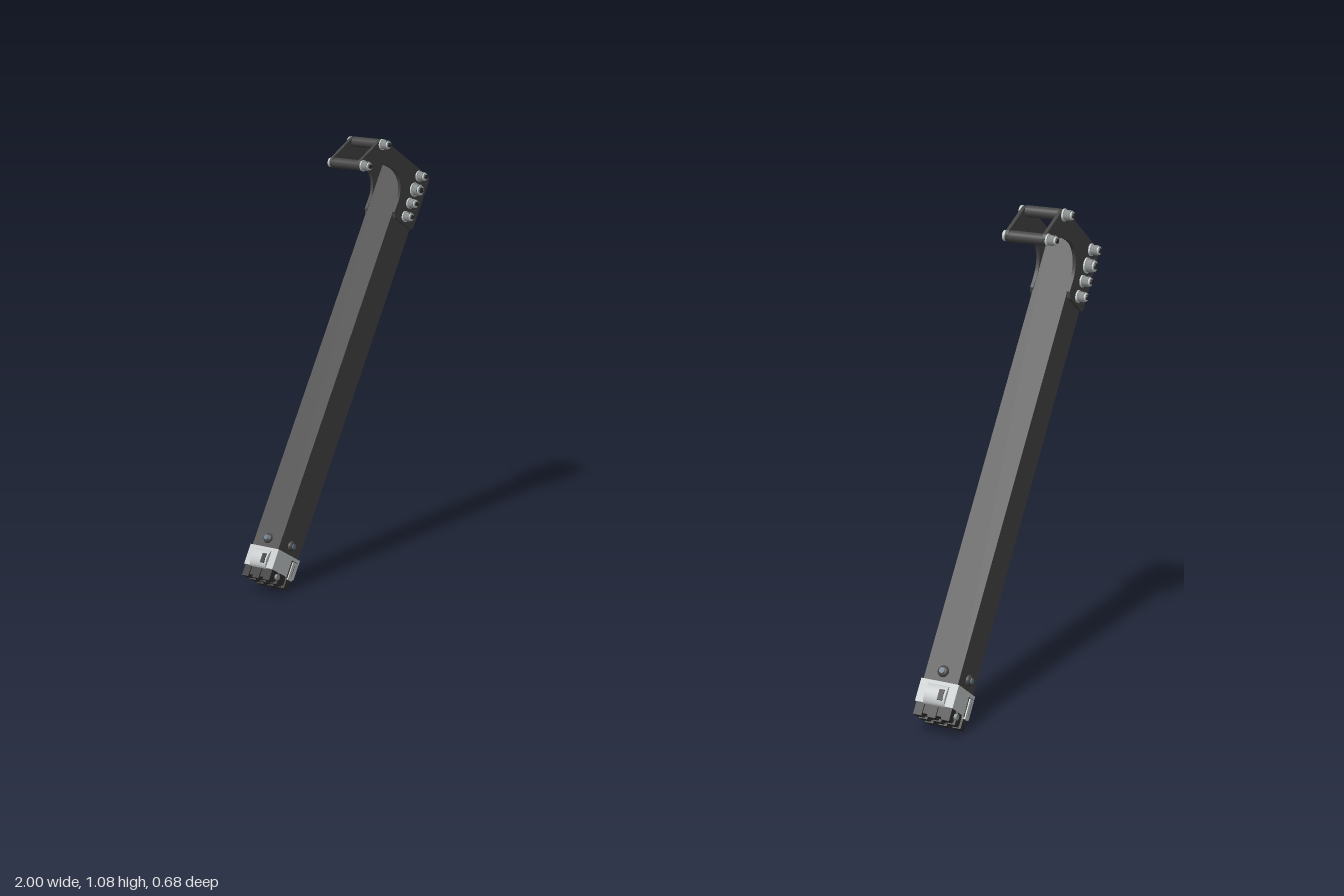
import * as THREE from 'three';

const mat = (name, color) => Object.assign(new THREE.MeshStandardMaterial({ color }), { name });

export function createModel() {
  const carbon = mat('dark grey', 0x444444);
  const black = mat('near black', 0x2e2e2e);
  const light = mat('light grey', 0xc4c8c8);
  const steel = mat('steel grey', 0x8d9293);
  const blue = mat('blue grey', 0x5f7384);

  const add = (parent, name, geo, material, x = 0, y = 0, z = 0) => {
    const m = new THREE.Mesh(geo, material);
    m.name = name;
    m.position.set(x, y, z);
    parent.add(m);
    return m;
  };
  const box = (w, h, d) => new THREE.BoxGeometry(w, h, d);
  // Cylinder lying along z, from z0 to z1
  const pin = (parent, name, r, z0, z1, material, x, y, sides = 16) =>
    add(parent, name, new THREE.CylinderGeometry(r, r, z1 - z0, sides).rotateX(Math.PI / 2),
      material, x, y, (z0 + z1) / 2);

  const rect = (target, w, d) => {
    target.moveTo(-w, -d);
    target.lineTo(w, -d);
    target.lineTo(w, d);
    target.lineTo(-w, d);
    target.closePath();
    return target;
  };

  // Arm frame: y runs along the tube, x is towards the back, z is sideways
  const HALF_D = 0.044, HALF_W = 0.041, TOP = 1.13;

  function hookPlate() {
    const s = new THREE.Shape();
    s.moveTo(-0.036, 0.98);
    s.lineTo(0.036, 0.98);
    s.quadraticCurveTo(0.047, 0.98, 0.047, 0.992);
    s.lineTo(0.047, TOP - 0.012);
    s.quadraticCurveTo(0.047, TOP, 0.035, TOP);
    s.lineTo(-0.17, TOP + 0.003);
    s.quadraticCurveTo(-0.186, TOP + 0.003, -0.194, 1.12);
    s.lineTo(-0.236, 1.048);
    s.quadraticCurveTo(-0.24, 1.03, -0.222, 1.027);
    s.splineThru([[-0.175, 1.064], [-0.137, 1.08], [-0.095, 1.083], [-0.062, 1.066],
      [-0.046, 1.034], [-0.046, 0.992]].map(p => new THREE.Vector2(...p)));
    s.closePath();
    return new THREE.ExtrudeGeometry(s, { depth: 0.008, bevelEnabled: false, curveSegments: 8 });
  }

  // Through bolt with a low head on one side and a nut on the other
  function bolt(parent, x, y, r) {
    const g = new THREE.Group();
    g.name = 'bolt';
    g.position.set(x, y, 0);
    parent.add(g);
    pin(g, 'boltShank', 0.006, -0.048, 0.062, light, 0, 0);
    pin(g, 'boltHead', r * 0.85, -0.055, -0.048, light, 0, 0);
    pin(g, 'boltSocket', r * 0.4, -0.0555, -0.055, black, 0, 0, 6);
    pin(g, 'washer', r, 0.048, 0.052, light, 0, 0);
    pin(g, 'nut', r * 0.88, 0.052, 0.066, steel, 0, 0, 6);
    pin(g, 'nutCollar', r * 0.68, 0.066, 0.07, light, 0, 0);
    pin(g, 'boltEnd', r * 0.4, 0.07, 0.073, black, 0, 0, 12);
  }

  function buildArm() {
    const arm = new THREE.Group();
    arm.name = 'arm';

    // Hollow square tube
    const section = rect(new THREE.Shape(), HALF_D, HALF_W);
    section.holes.push(rect(new THREE.Path(), HALF_D - 0.007, HALF_W - 0.007));
    const tube = new THREE.ExtrudeGeometry(section, { depth: TOP - 0.084, bevelEnabled: false });
    add(arm, 'tube', tube.rotateX(-Math.PI / 2), carbon, 0, 0.08, 0);

    // Hook bracket: two plates joined across the back
    const plate = hookPlate();
    add(arm, 'hookPlateLeft', plate, carbon, 0, 0, 0.04);
    add(arm, 'hookPlateRight', plate, carbon, 0, 0, -0.048);
    add(arm, 'bracketBack', box(0.005, 0.13, 0.082), carbon, 0.0445, 1.054, 0);

    // Bolts through the tube, and spacers across the hook
    [1.0, 1.037, 1.075, 1.113].forEach((y, i) => bolt(arm, 0, y, i === 2 ? 0.018 : 0.014));
    for (const [x, y] of [[-0.223, 1.04], [-0.179, 1.119]]) {
      bolt(arm, x, y, 0.014);
      pin(arm, 'hookSpacer', 0.013, -0.041, 0.041, carbon, x, y);
    }

    // Domed rivets on the four faces above the foot
    for (let i = 0; i < 4; i++) {
      const face = new THREE.Group();
      face.name = 'rivet';
      face.rotation.y = i * Math.PI / 2;
      const out = i % 2 ? HALF_D : HALF_W;
      const dome = new THREE.SphereGeometry(0.013, 16, 6, 0, Math.PI * 2, 0, Math.PI / 2);
      dome.rotateX(Math.PI / 2).scale(1, 1, 0.7);
      add(face, 'rivetHead', dome, carbon, 0, 0.103, out);
      pin(face, 'rivetCentre', 0.0065, out + 0.004, out + 0.0105, blue, 0, 0.103);
      arm.add(face);
    }

    // Foot: light collar with clips over a dark slotted block
    add(arm, 'collar', box(0.094, 0.052, 0.09), light, 0, 0.054, 0);
    add(arm, 'footBlock', box(0.08, 0.024, 0.076), black, 0, 0.018, 0);
    for (const x of [-0.033, 0, 0.033])
      for (const z of [-0.033, 0, 0.033])
        add(arm, 'footLug', box(0.02, 0.029, 0.02), black, x, 0.0145, z);
    for (const side of [-1, 1]) {
      const bulge = new THREE.CylinderGeometry(0.024, 0.024, 0.05, 20).rotateX(Math.PI / 2);
      bulge.scale(0.55, 1, 1);
      add(arm, 'collarClip', bulge, light, side * 0.042, 0.05, 0);
      add(arm, 'clipSlot', box(0.003, 0.024, 0.012), black, side * 0.0545, 0.05, 0.014);
      add(arm, 'sideClipGroove', box(0.024, 0.046, 0.002), black, 0.028, 0.048, side * 0.045);
      add(arm, 'sideClip', box(0.018, 0.046, 0.007), light, 0.028, 0.046, side * 0.0455);
      add(arm, 'sideClipSlot', box(0.004, 0.03, 0.002), steel, 0.028, 0.046, side * 0.0485);
    }
    pin(arm, 'footScrew', 0.007, -0.046, 0.05, steel, -0.02, 0.016);

    // Lean the arm backwards
    arm.rotation.z = -0.563;
    arm.position.set(-0.301, 0.026, 0);
    return arm;
  }

  const model = new THREE.Group();
  model.name = 'pairOfArms';
  for (const [name, x] of [['rightArm', -0.945], ['leftArm', 0.926]]) {
    const holder = new THREE.Group();
    holder.name = name;
    holder.rotation.y = Math.PI / 2;
    holder.position.x = x;
    holder.add(buildArm());
    model.add(holder);
  }
  return model;
}
